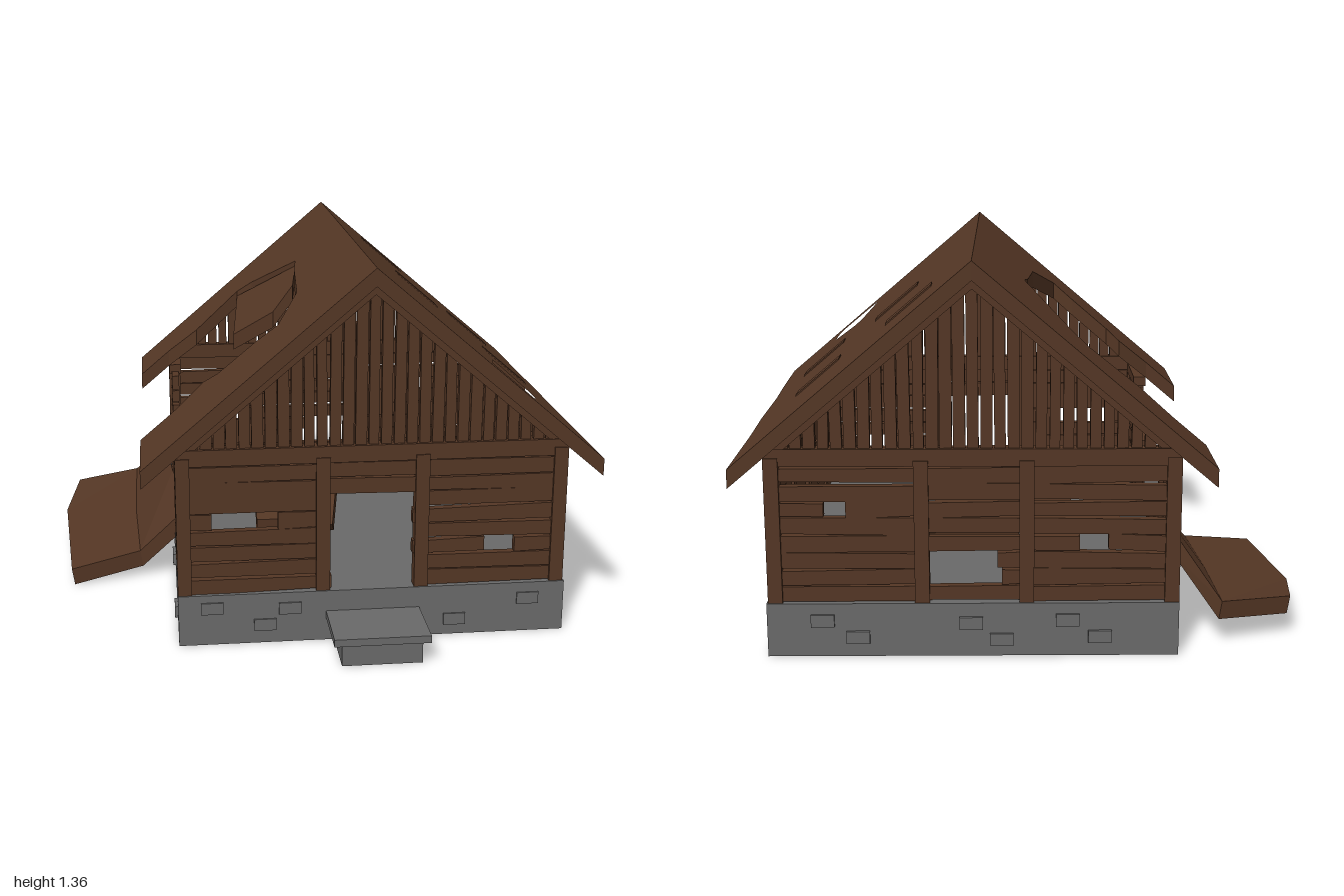
import * as THREE from 'three';

const wood = new THREE.MeshStandardMaterial({ color: 0x553725, flatShading: true });
const stone = new THREE.MeshStandardMaterial({ color: 0x6a6a6a, flatShading: true });
const CX = 0.16, RIDGE = 1.36, SLOPE = 0.85, ROOF_T = 0.065;
const roofTop = x => RIDGE - SLOPE * Math.abs(x - CX);

let seed = 7;
const rand = () => (seed = (seed * 16807) % 2147483647) / 2147483647;
const jitter = a => (rand() - 0.5) * 2 * a;

function add(parent, name, geo, mat) {
  const m = new THREE.Mesh(geo, mat);
  m.name = name;
  parent.add(m);
  return m;
}

// Box given by its min and max corners
function box(parent, name, [x0, x1], [y0, y1], [z0, z1], mat = wood) {
  const m = add(parent, name, new THREE.BoxGeometry(x1 - x0, y1 - y0, z1 - z0), mat);
  m.position.set((x0 + x1) / 2, (y0 + y1) / 2, (z0 + z1) / 2);
  return m;
}

// Move every vertex of a geometry by a rule
function reshape(geo, rule) {
  const p = geo.attributes.position, v = new THREE.Vector3();
  for (let i = 0; i < p.count; i++) {
    v.fromBufferAttribute(p, i);
    rule(v);
    p.setXYZ(i, v.x, v.y, v.z);
  }
  geo.computeVertexNormals();
  return geo;
}

// Squared timber running between two points
function beam(parent, name, a, b, w, h) {
  const A = new THREE.Vector3(...a), B = new THREE.Vector3(...b);
  const m = add(parent, name, new THREE.BoxGeometry(w, h, A.distanceTo(B)), wood);
  m.position.copy(A).add(B).multiplyScalar(0.5);
  m.lookAt(B);
}

// Hand-cut horizontal plank with uneven ends
function plank(parent, u0, u1, y0, y1) {
  const e = [jitter(0.006), jitter(0.006), jitter(0.006), jitter(0.006)];
  const geo = reshape(new THREE.BoxGeometry(2, 2, 0.03), v => {
    const k = (v.x > 0 ? 1 : 0) + (v.y > 0 ? 2 : 0);
    v.x = v.x > 0 ? u1 : u0;
    v.y = (v.y > 0 ? y1 : y0) + e[k];
  });
  add(parent, 'wallPlank', geo, wood);
}

// Wall along local x: posts at given centres, eight plank rows, holes [row0, row1, u0, u1]
function wall(parent, name, posts, holes, tops = []) {
  const g = new THREE.Group();
  g.name = name;
  parent.add(g);
  posts.forEach((u, i) => box(g, 'post', [u - 0.025, u + 0.025], [0.18, tops[i] ?? 0.69], [-0.025, 0.025]));
  for (let b = 0; b < posts.length - 1; b++) {
    for (let r = 0; r < 8; r++) {
      let parts = [[posts[b], posts[b + 1]]];
      for (const [r0, r1, h0, h1] of holes) {
        if (r < r0 || r > r1) continue;
        parts = parts.flatMap(([s, t]) => h1 <= s || h0 >= t ? [[s, t]]
          : [[s, h0 + jitter(0.012)], [h1 + jitter(0.012), t]].filter(q => q[1] - q[0] > 0.03));
      }
      parts.forEach(([s, t]) => plank(g, s, t, 0.192 + r * 0.06, 0.246 + r * 0.06));
    }
  }
  return g;
}

// Slab following the roof slope, outlined in plan as [x, z]
function roofPanel(parent, name, outline, hole, drop = () => 0) {
  const pts = a => a.map(([x, z]) => new THREE.Vector2(x, -z));
  const shape = new THREE.Shape(pts(outline));
  if (hole) shape.holes.push(new THREE.Path(pts(hole)));
  const geo = new THREE.ExtrudeGeometry(shape, { depth: ROOF_T, bevelEnabled: false });
  reshape(geo, v => {
    const z = -v.y;
    v.set(v.x, roofTop(v.x) - ROOF_T + v.z - drop(v.x, z), z);
  });
  add(parent, name, geo, wood);
}

// Triangle of vertical boards trimmed to the roof
function gable(parent, z) {
  const g = new THREE.Group();
  g.name = 'gable';
  parent.add(g);
  box(g, 'gableBeam', [-0.54, 0.86], [0.67, 0.73], [z - 0.025, z + 0.025]);
  const pitch = 0.0455;
  for (let i = -14; i <= 14; i++) {
    const c = CX + i * pitch, w = 0.019 + jitter(0.002), lean = jitter(0.004);
    const geo = reshape(new THREE.BoxGeometry(2, 2, 0.025), v => {
      const up = v.y > 0, x = c + Math.sign(v.x) * w + (up ? lean : 0);
      v.set(x, up ? Math.max(0.72, roofTop(x) - 0.05) : 0.7, v.z + z);
    });
    add(g, 'gableBoard', geo, wood);
  }
  // rafters behind the roof edge
  for (const s of [-1, 1]) {
    const geo = reshape(new THREE.BoxGeometry(2, 2, 0.04), v => {
      const x = CX + s * (v.x > 0 === s > 0 ? 0.7 : 0);
      v.set(x, roofTop(x) - (v.y > 0 ? 0.04 : 0.095), v.z + z);
    });
    add(g, 'rafter', geo, wood);
  }
}

export function createModel() {
  const house = new THREE.Group();
  house.name = 'ruinedCabin';

  // Stone base with protruding blocks, and entrance steps
  const base = new THREE.Group();
  base.name = 'foundation';
  house.add(base);
  box(base, 'baseSlab', [-0.54, 0.865], [0, 0.19], [-0.935, 0.7], stone);
  for (const [z, y] of [[0.545, 0.13], [0.36, 0.055], [-0.05, 0.145], [-0.61, 0.075], [-0.8, 0.13]])
    box(base, 'sideStone', [0.85, 0.876], [y - 0.022, y + 0.022], [z - 0.04, z + 0.04], stone);
  for (const [z, y] of [[0.5, 0.06], [0.16, 0.13], [-0.3, 0.07], [-0.7, 0.13]])
    box(base, 'sideStone', [-0.551, -0.52], [y - 0.022, y + 0.022], [z - 0.04, z + 0.04], stone);
  for (const [x, y] of [[-0.42, 0.14], [-0.23, 0.07], [-0.14, 0.13], [0.46, 0.06], [0.73, 0.13]])
    box(base, 'frontStone', [x - 0.04, x + 0.04], [y - 0.022, y + 0.022], [0.68, 0.706], stone);
  for (const [x, y] of [[-0.27, 0.07], [-0.16, 0.13], [0.065, 0.06], [0.17, 0.12], [0.555, 0.07], [0.675, 0.13]])
    box(base, 'backStone', [x - 0.04, x + 0.04], [y - 0.022, y + 0.022], [-0.946, -0.92], stone);
  box(base, 'stepBlock', [0.02, 0.305], [0, 0.085], [0.68, 0.92], stone);
  box(base, 'stepSlab', [-0.01, 0.33], [0.085, 0.112], [0.68, 0.945], stone);

  // Four plank walls; the left one is mostly collapsed
  const acrossPosts = [-0.515, -0.02, 0.335, 0.835];
  const front = wall(house, 'frontWall', acrossPosts,
    [[0, 5, 0, 0.31], [4, 4, -0.42, -0.17], [2, 2, 0.57, 0.68]]);
  front.position.z = 0.67;
  const back = wall(house, 'backWall', acrossPosts,
    [[1, 2, 0.07, 0.31], [5, 5, 0.58, 0.66], [3, 3, -0.3, -0.21]]);
  back.position.z = -0.905;
  const sidePosts = [-0.67, -0.325, 0.555, 0.905];
  const right = wall(house, 'rightWall', sidePosts,
    [[5, 5, -0.56, -0.4], [5, 5, 0.7, 0.88], [3, 3, 0.14, 0.22]]);
  right.position.x = 0.835;
  right.rotation.y = Math.PI / 2;
  const left = wall(house, 'leftWall', sidePosts,
    [[0, 0, -0.2, 0.45], [1, 3, -0.3, 0.53], [4, 4, -0.13, 0.53], [5, 7, -0.3, 0.53],
      [5, 5, -0.56, -0.35], [5, 5, 0.58, 0.88]], [0.69, 0.6, 0.42, 0.69]);
  left.position.x = -0.515;
  left.rotation.y = Math.PI / 2;
  box(house, 'topPlate', [0.81, 0.86], [0.66, 0.7], [-0.93, 0.695]);
  box(house, 'topPlate', [-0.54, -0.49], [0.66, 0.7], [0.35, 0.695]);
  box(house, 'topPlate', [-0.54, -0.49], [0.66, 0.7], [-0.93, -0.64]);

  gable(house, 0.665);
  gable(house, -0.9);

  // Roof: broken left slope, right slope with a small hole
  roofPanel(house, 'leftRoof', [[CX, -0.94], [CX, 0.7], [-0.66, 0.7], [-0.66, 0.33], [-0.54, 0.33],
    [-0.42, 0.28], [-0.37, 0.33], [-0.23, 0.34], [-0.15, 0.37], [-0.06, 0.16], [-0.035, -0.2],
    [-0.02, -0.31], [-0.18, -0.58], [-0.24, -0.64], [-0.42, -0.58], [-0.54, -0.63], [-0.66, -0.63], [-0.66, -0.94]]);
  roofPanel(house, 'rightRoof', [[CX, -0.94], [0.98, -0.935], [0.975, -0.5], [0.985, -0.2], [0.975, 0.1],
    [0.985, 0.35], [0.99, 0.7], [CX, 0.7]],
  [[0.6, 0.57], [0.65, 0.37], [0.68, 0.36], [0.77, 0.46], [0.77, 0.55], [0.75, 0.61], [0.62, 0.59]]);
  // torn piece sagging from the upper edge of the break
  roofPanel(house, 'saggingRoof', [[-0.24, -0.64], [-0.02, -0.31], [-0.04, -0.21], [-0.12, -0.21], [-0.27, -0.41]],
    null, (x, z) => 0.02 - 0.6 * Math.min(0, (x + 0.02) * 0.83 - (z + 0.31) * 0.55));
  // shingles proud of the right slope
  for (const [x, z] of [[0.77, 0.07], [0.46, -0.175], [0.385, -0.625], [0.73, -0.44]])
    roofPanel(house, 'shingle', [[x - 0.08, z - 0.04], [x + 0.08, z - 0.04], [x + 0.08, z + 0.04], [x - 0.08, z + 0.04]],
      null, () => -0.006);

  // Fallen roof section: outer, middle and inner rails, each back to front as [x, y, z]
  const rails = [
    [[-0.955, 0.145, -0.76], [-0.998, 0.105, -0.48], [-0.95, 0.066, 0.1]],
    [[-0.7, 0.16, -0.85], [-0.7, 0.125, -0.4], [-0.68, 0.105, 0.03]],
    [[-0.56, 0.33, -0.62], [-0.54, 0.33, -0.3], [-0.49, 0.3, 0.08]],
  ];
  add(house, 'fallenRoof', reshape(new THREE.BoxGeometry(2, 2, 2, 2, 1, 2), v => {
    const r = Math.round(v.x) + 1, under = v.y < 0;
    v.fromArray(rails[r][Math.round(v.z) + 1]);
    if (under) v.add(new THREE.Vector3(r === 2 ? 0.015 : 0.01, -0.065, 0));
  }), wood);

  // Loose timbers indoors
  beam(house, 'fallenBeam', [-0.15, 0.25, 0.24], [-0.13, 0.3, -0.16], 0.15, 0.1);
  beam(house, 'leaningBeam', [0.04, 0.22, 0.14], [0.09, 0.45, -0.06], 0.09, 0.06);
  beam(house, 'fallenBeam', [0.02, 0.22, -0.3], [0.36, 0.27, -0.5], 0.07, 0.07);
  return house;
}
